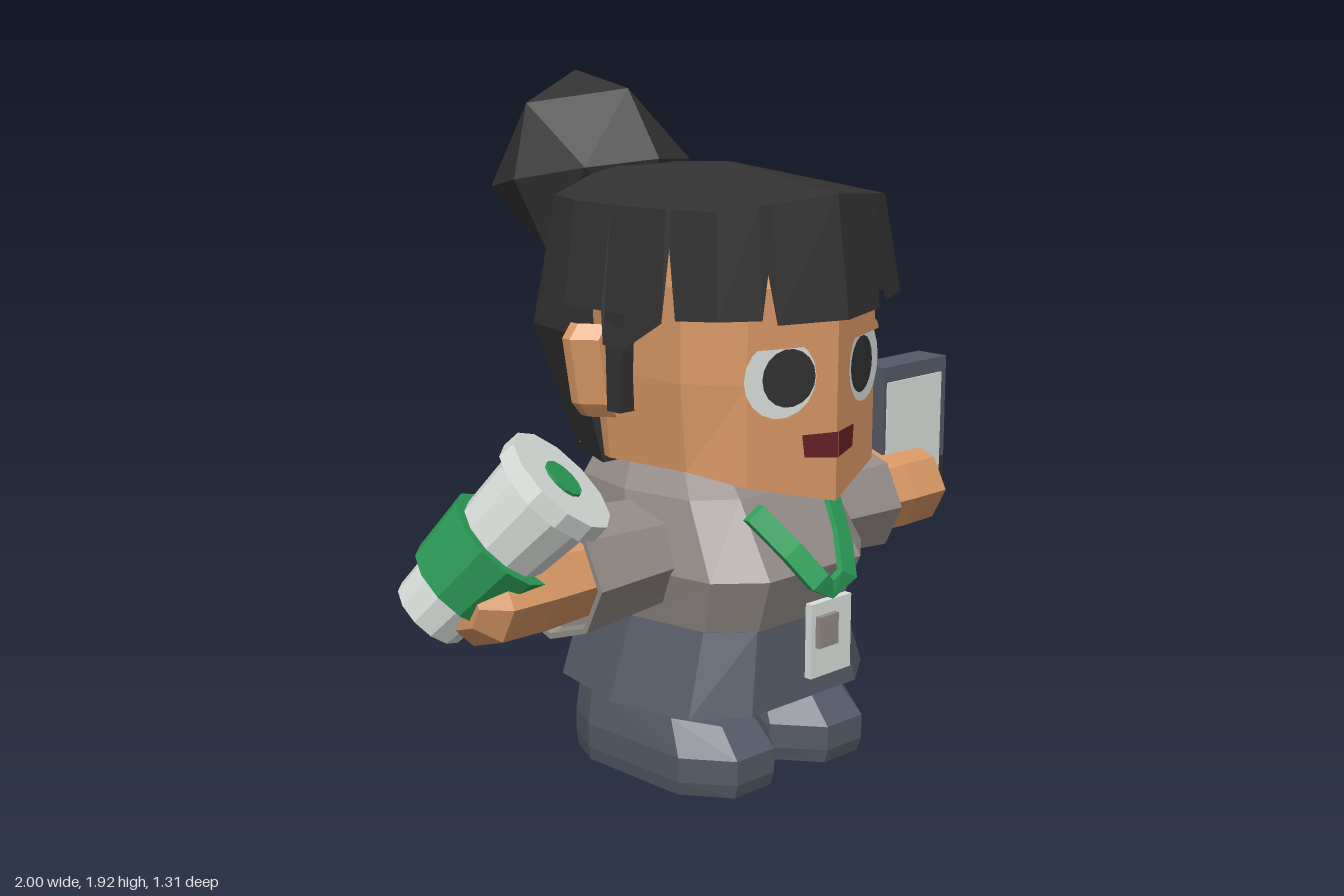
import * as THREE from 'three';

const mat = (name, color) => {
  const m = new THREE.MeshStandardMaterial({ color, side: THREE.DoubleSide, flatShading: true });
  m.name = name;
  return m;
};

export function createModel() {
  const model = new THREE.Group();
  const body = new THREE.Group();
  body.name = 'figure';
  body.position.x = 0.012;
  model.add(body);
  const skin = mat('skin', 0xd99865), hair = mat('black', 0x323232), shirt = mat('shirtGrey', 0x948c88);
  const slate = mat('slate', 0x545a66), green = mat('green', 0x2c9c57), white = mat('white', 0xdbe0dc);
  const red = mat('mouthRed', 0x662026);

  const add = (name, geo, material, pos = [0, 0, 0], parent = body) => {
    const m = new THREE.Mesh(geo, material);
    m.name = name;
    m.position.set(...pos);
    parent.add(m);
    return m;
  };

  // Triangle list to geometry; flip turns the faces over when needed
  const fromTriangles = (tris, flip) => {
    const g = new THREE.BufferGeometry();
    const pts = tris.flatMap(([a, b, c]) => (flip ? [a, c, b] : [a, b, c]).flat());
    g.setAttribute('position', new THREE.Float32BufferAttribute(pts, 3));
    g.computeVertexNormals();
    return g;
  };

  // Solid skinned over closed rings of [x, y, z], with fan caps
  const loft = (rings) => {
    const tris = [], n = rings[0].length;
    const mid = (r) => [0, 1, 2].map((k) => r.reduce((s, p) => s + p[k], 0) / n);
    const last = rings[rings.length - 1], c0 = mid(rings[0]), c1 = mid(last);
    for (let j = 0; j < n; j++) {
      const k = (j + 1) % n;
      for (let i = 0; i + 1 < rings.length; i++) {
        const a = rings[i][j], b = rings[i][k], c = rings[i + 1][k], d = rings[i + 1][j];
        tris.push([a, b, c], [a, c, d]);
      }
      tris.push([c0, rings[0][k], rings[0][j]], [c1, last[j], last[k]]);
    }
    const v = (p) => new THREE.Vector3(...p);
    const volume = tris.reduce((s, [a, b, c]) => s + v(a).dot(v(b).cross(v(c))), 0);
    return fromTriangles(tris, volume < 0);
  };

  // Full ring from half a ring (x >= 0, front to back)
  const mirror = (half) => [
    ...half,
    ...half.filter((p) => p[0] > 0).reverse().map(([x, y, z]) => [-x, y, z]),
  ];

  // Torso and skirt
  const bodyRing = ([y, rx, zf, zb]) => mirror(
    [[0.52, 1], [0.87, 0.72], [1, 0], [0.87, -0.72], [0.52, -1]].map(([u, w]) =>
      [u * rx, y, (zf + zb) / 2 + w * (zf - zb) / 2]));
  add('shirt', loft([[0.44, 0.31, 0.49, -0.175], [0.61, 0.35, 0.555, -0.185],
    [0.81, 0.31, 0.42, -0.175], [0.88, 0.26, 0.34, -0.15]].map(bodyRing)), shirt);
  add('skirt', loft([[0.23, 0.404, 0.52, -0.2], [0.455, 0.32, 0.495, -0.182]].map(bodyRing)), slate);
  add('neck', new THREE.CylinderGeometry(0.16, 0.18, 0.2, 8), skin, [0, 0.9, 0.13]);

  for (const s of [1, -1]) {
    // Shoe
    const sole = [[0.11, 0.51], [0.255, 0.51], [0.352, 0.38], [0.358, 0.02], [0.3, -0.1],
      [0.08, -0.1], [0.01, 0.02], [0.01, 0.38]];
    const shoeRing = ([y, k, zk, slope]) => sole.map(([x, z]) =>
      [s * (0.17 + (x - 0.17) * k), y - slope * Math.max(0, z - 0.2), -0.1 + (z + 0.1) * zk]);
    add('shoe', loft([[0, 0.96, 0.98, 0], [0.04, 1, 1, 0], [0.11, 1, 1, 0], [0.222, 0.85, 0.88, 0.11]]
      .map(shoeRing)), slate);

    // Sleeve with a hemmed opening, forearm and fist
    const armRing = ([x, ry, rz]) => Array.from({ length: 8 }, (_, i) => {
      const a = (i * Math.PI) / 4;
      return [s * x, 0.63 + ry * Math.sin(a), 0.145 + rz * Math.cos(a)];
    });
    add('sleeve', loft([[0.25, 0.15, 0.18], [0.602, 0.178, 0.21], [0.602, 0.162, 0.194], [0.56, 0.155, 0.185]]
      .map(armRing)), shirt);
    add('forearm', loft([[0.54, 0.128, 0.165], [0.72, 0.138, 0.172], [0.86, 0.135, 0.17], [0.918, 0.08, 0.1]]
      .map(armRing)), skin);

    // Ear, thinner towards the front
    const ear = [[0.33, 1.2], [0.435, 1.28], [0.466, 1.24], [0.435, 1.06], [0.4, 1.02], [0.33, 1.04]];
    add('ear', loft([[0.05, 0], [0.08, 0], [0.14, 0.05]].map(([z, dx]) =>
      ear.map(([x, y]) => [s * (x - dx), y, z]))), skin);

    // Sideburn
    const burn = (y, z0, z1, x1) => [[0.34, y, z0], [x1, y, z0], [x1, y, z1], [0.34, y, z1]]
      .map(([x, yy, z]) => [s * x, yy, z]);
    add('sideburn', loft([burn(1.05, 0.16, 0.21, 0.405), burn(1.32, 0.152, 0.222, 0.404)]), hair);

    // Painted face half, lying on the slanted front of the face
    const face = new THREE.Group();
    face.name = 'faceHalf';
    face.position.set(0, 0, 0.623);
    face.rotation.y = s * 0.346;
    body.add(face);
    const disc = (name, m, x, y, z, rx, ry, arc = Math.PI * 2) =>
      add(name, new THREE.CircleGeometry(1, 18, 0, arc), m, [s * x, y, z], face).scale.set(rx, ry, 1);
    disc('eyeWhite', white, 0.174, 1.162, 0.003, 0.106, 0.106);
    disc('pupil', hair, 0.15, 1.163, 0.006, 0.078, 0.078);
    disc('eyelid', skin, 0.174, 1.243, 0.009, 0.092, 0.042, Math.PI);
    const lips = new THREE.Shape([[0, 0.936], [0.1, 0.945], [0.108, 1.006], [0, 1.006]]
      .map(([x, y]) => new THREE.Vector2(s * x, y)));
    add('mouth', new THREE.ShapeGeometry(lips), red, [0, 0, 0.003], face);

    // Lanyard strap: [x, y, z, half width across, half width up]
    const strap = [[0.155, 0.78, 0.455, 0.03, 0.016], [0.105, 0.685, 0.545, 0.03, 0.016],
      [0.058, 0.6, 0.605, 0.03, 0.016], [0, 0.566, 0.598, 0, 0.025]];
    add('lanyardStrap', loft(strap.map(([x, y, z, w, u]) => [[1, 0], [-1, 0], [-1, 0.02], [1, 0.02]]
      .map(([d, dz]) => [s * (x + d * w), y - d * u, z + dz]))), green);
  }

  // Name badge
  add('badge', new THREE.BoxGeometry(0.16, 0.21, 0.022), white, [0.003, 0.432, 0.599]);
  add('badgeSquare', new THREE.BoxGeometry(0.076, 0.088, 0.016), shirt, [-0.022, 0.457, 0.617]);

  // Head: flat-sided column with a pointed, keeled chin
  const headPlan = [[0, 0.62, 0.815], [0.25, 0.53, 0.876], [0.355, 0.39, 0.91], [0.365, 0.1, 0.9], [0.28, -0.1, 0.9]];
  add('head', loft([
    mirror(headPlan.map(([x, z]) => [x * 0.1, 0.826, 0.1 + z * 0.5])),
    mirror(headPlan.map(([x, z, y]) => [x > 0.3 ? x * 0.94 : x, y, z])),
    mirror(headPlan.map(([x, z]) => [x, 1.15, z])),
    mirror(headPlan.map(([x, z]) => [x, 1.4, z])),
    mirror(headPlan.map(([x, z]) => [x * 0.9, 1.56, z * 0.85])),
  ]), skin);

  // Hair cap with a notched hem: [x, z, hem height]
  const hem = [[0, 0.655, 1.31], [0.2, 0.588, 1.31], [0.222, 0.582, 1.44], [0.243, 0.576, 1.325],
    [0.362, 0.53, 1.33], [0.385, 0.4, 1.32], [0.39, 0.375, 1.5], [0.395, 0.36, 1.31],
    [0.41, 0.222, 1.22], [0.412, 0.152, 1.23], [0.412, 0.145, 1.32], [0.415, 0, 1.32]];
  const crown = ([x, z]) => [x * 0.9, 1.635 - 0.09 * x, z * 0.93];
  const lean = (p) => {
    const c = crown(p), t = Math.min(1, (c[1] - p[2]) / (c[1] - 1.31));
    return [c[0] + (p[0] - c[0]) * t, p[2], c[2] + (p[1] - c[2]) * t];
  };
  const backCrown = [[0.33, 1.6, -0.13], [0.13, 1.66, -0.15]];
  const apex = [0, 1.692, 0.22];
  const top = mirror([...hem.map(crown), ...backCrown]);
  const capTris = top.map((p, i) => [apex, p, top[(i + 1) % top.length]]);
  for (const s of [1, -1]) {
    const side = ([x, y, z]) => [s * x, y, z];
    for (let i = 0; i + 1 < hem.length; i++) {
      const q = [crown(hem[i]), lean(hem[i]), lean(hem[i + 1]), crown(hem[i + 1])].map(side);
      const t = [[q[0], q[1], q[2]], [q[0], q[2], q[3]]];
      capTris.push(...(s > 0 ? t : t.map(([a, b, c]) => [a, c, b])));
    }
  }
  add('hairCap', fromTriangles(capTris, false), hair);

  // Hair at the back, down to the nape
  add('backHair', loft([
    [[0.34, 0.88, 0.07], [0.27, 0.88, -0.11], [0.12, 0.88, -0.17]],
    [[0.417, 1.24, 0.03], [0.365, 1.24, -0.19], [0.13, 1.24, -0.32]],
    [[0.3735, 1.598, 0], [0.33, 1.6, -0.13], [0.13, 1.66, -0.15]],
  ].map(mirror)), hair);

  // Bun
  const bun = add('hairBun', new THREE.OctahedronGeometry(0.302, 1), hair, [0, 1.62, -0.36]);
  bun.scale.x = 0.95;
  bun.rotation.x = -0.2;

  // Tablet in the left hand
  add('tabletBody', new THREE.BoxGeometry(0.3, 0.32, 0.11), slate, [0.85, 0.86, 0.145], model);
  add('tabletBase', new THREE.BoxGeometry(0.3, 0.16, 0.11), hair, [0.85, 0.62, 0.145], model);
  add('tabletScreen', new THREE.BoxGeometry(0.258, 0.325, 0.006), white, [0.844, 0.81, 0.202], model);

  // Cup in the right hand, tilted forward and inward
  const cup = new THREE.Group();
  cup.name = 'cup';
  cup.position.set(-0.9, 0.57, 0.03);
  const axis = new THREE.Vector3(0.212, 0.372, 0.288);
  const h = axis.length();
  cup.quaternion.setFromUnitVectors(new THREE.Vector3(0, 1, 0), axis.normalize());
  model.add(cup);
  const tube = (name, r1, r0, y0, y1, m) =>
    add(name, new THREE.CylinderGeometry(r1, r0, y1 - y0, 12), m, [0, (y0 + y1) / 2, 0], cup);
  tube('cupBody', 0.147, 0.107, 0, h - 0.04, white);
  tube('cupBand', 0.16, 0.142, 0.11, 0.29, green);
  tube('cupLid', 0.165, 0.168, h - 0.05, h, white);
  tube('lidDot', 0.059, 0.059, h, h + 0.008, green);

  return model;
}
